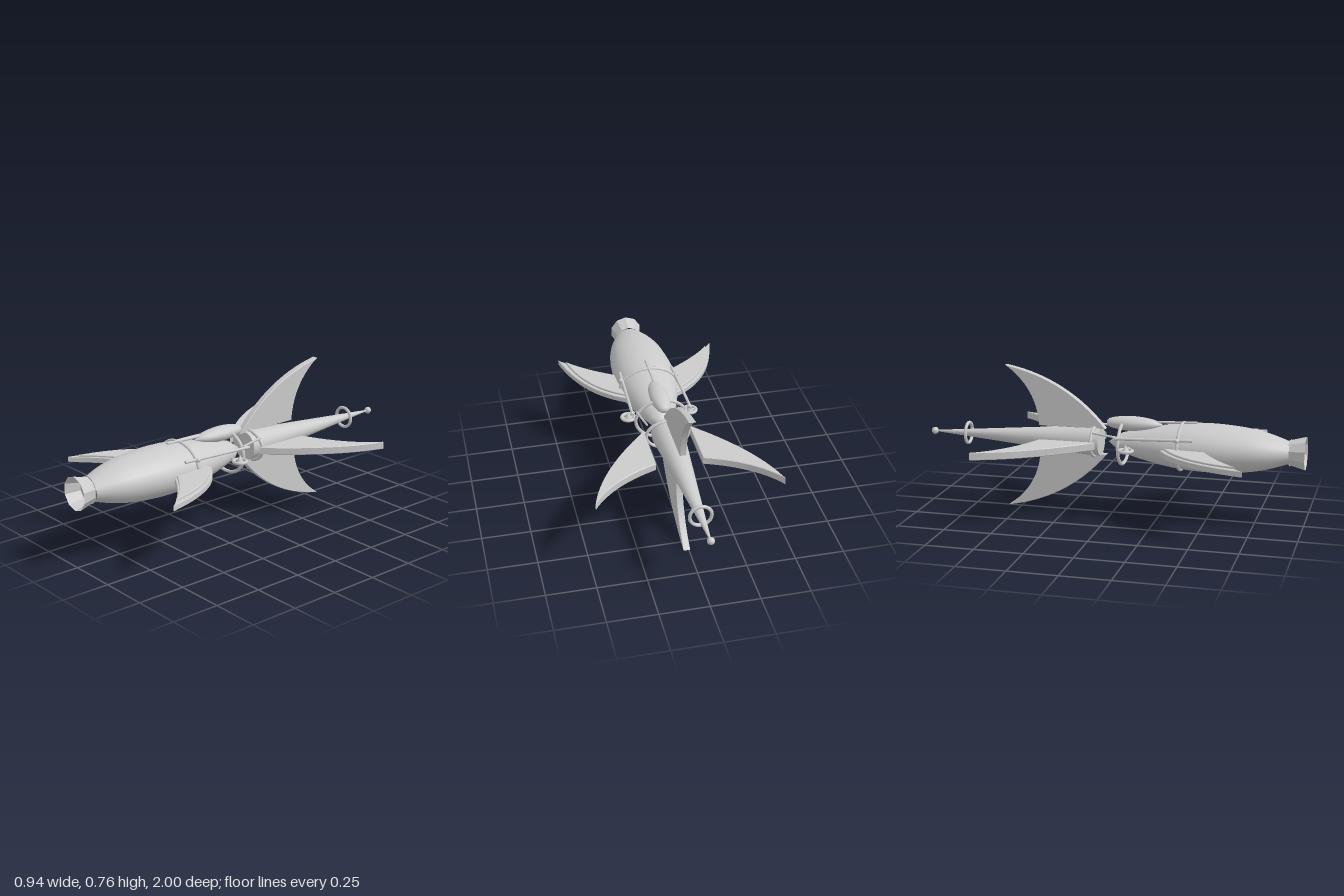
import * as THREE from 'three';

const AXIS = 0.385; // height of the long axis

export function createModel() {
  const root = new THREE.Group();
  root.name = 'finnedRocketCraft';
  const smooth = new THREE.MeshStandardMaterial({ color: 0xcccccc });
  const open = new THREE.MeshStandardMaterial({ color: 0xcccccc, side: THREE.DoubleSide, flatShading: true });

  const add = (name, geometry, x = 0, y = AXIS, z = 0, material = smooth) => {
    const mesh = new THREE.Mesh(geometry, material);
    mesh.name = name;
    mesh.position.set(x, y, z);
    root.add(mesh);
    return mesh;
  };
  // Turned shape along z from [radius, z] pairs running back to front
  const turned = (pts, sides, sx = 1) =>
    new THREE.LatheGeometry(pts.map(([r, z]) => new THREE.Vector2(r, z)), sides).rotateX(Math.PI / 2).scale(sx, 1, 1);
  const smoothProfile = (pts, n) =>
    new THREE.SplineCurve(pts.map(([r, z]) => new THREE.Vector2(r, z))).getPoints(n).map(p => [Math.max(p.x, 0), p.y]);

  // Hull: broad spindle, wider than tall, with a pointed tail
  const hull = smoothProfile([[0.05, 0.05], [0.088, 0.2], [0.115, 0.36], [0.123, 0.53], [0.111, 0.7], [0.09, 0.81], [0.055, 0.92]], 24);
  add('hull', turned(hull, 24, 1.34));
  add('hullTailCone', turned([[0, -0.02], [0.05, 0.05]], 24, 1.34));
  add('hullFrontCap', new THREE.CircleGeometry(0.07, 24), 0, AXIS, 0.922);

  // Flared open nozzle
  add('nozzle', turned([[0.064, 0.915], [0.087, 1]], 10), 0, AXIS, 0, open);

  // Tail boom with ball tip
  add('tailBoom', turned([[0.004, -0.97], [0.079, -0.1], [0.076, -0.06]], 20, 1.06));
  add('tailBoomCap', new THREE.CircleGeometry(0.076, 20).scale(1.06, 1, 1), 0, AXIS, -0.06);
  add('tailBall', new THREE.SphereGeometry(0.019, 14, 10), 0, AXIS, -0.981);

  // Oval hoops: z, half width, half height
  [[0.37, 0.158, 0.118, 'hullHoop'], [0.06, 0.135, 0.11, 'rearHullHoop'],
    [-0.09, 0.112, 0.078, 'boomHoop'], [-0.79, 0.054, 0.054, 'tailHoop']].forEach(([z, rx, ry, name]) => {
    const pts = Array.from({ length: 32 }, (_, i) => {
      const a = i / 32 * Math.PI * 2;
      return new THREE.Vector3(Math.cos(a) * rx, Math.sin(a) * ry, 0);
    });
    add(name, new THREE.TubeGeometry(new THREE.CatmullRomCurve3(pts, true), 48, 0.009, 8, true), 0, AXIS, z);
  });

  // Fin plate: points are [outward, z]; edges are root start, lead control, tip, trail control, root end
  const plate = ([a, c1, tip, c2, b], thick) => {
    const s = new THREE.Shape();
    s.moveTo(a[0], -a[1]);
    s.quadraticCurveTo(c1[0], -c1[1], tip[0], -tip[1]);
    s.quadraticCurveTo(c2[0], -c2[1], b[0], -b[1]);
    s.closePath();
    const bevel = 0.003;
    return new THREE.ExtrudeGeometry(s, {
      depth: thick - 2 * bevel, curveSegments: 14, bevelThickness: bevel, bevelSize: bevel, bevelOffset: -bevel, bevelSegments: 1,
    }).translate(0, 0, bevel - thick / 2).rotateX(-Math.PI / 2);
  };
  const fin = (name, pts, thick, angle, lift = 0) => {
    const geo = plate(pts, thick).translate(0, lift, 0);
    add(name, geo, 0, AXIS, 0).rotation.z = angle;
  };

  // Swept tail fins: two upright, two level
  const upright = [[0.07, -0.03], [0.325, -0.24], [0.382, -0.57], [0.265, -0.4], [0.07, -0.39]];
  const level = [[0.12, -0.065], [0.4, -0.35], [0.47, -0.615], [0.36, -0.445], [0.12, -0.36]];
  fin('upperTailFin', upright, 0.035, Math.PI / 2, 0.01);
  fin('lowerTailFin', upright, 0.035, -Math.PI / 2, 0.01);
  fin('leftTailFin', level, 0.04, 0);
  fin('rightTailFin', level, 0.04, Math.PI);

  // Forward fins: outer plate with a thicker inset plate
  const wing = [[0.1, 0.26], [0.355, 0.37], [0.435, 0.745], [0.31, 0.6], [0.1, 0.49]];
  const inset = [[0.1, 0.28], [0.34, 0.39], [0.4, 0.705], [0.3, 0.585], [0.1, 0.475]];
  [['left', 0], ['right', Math.PI]].forEach(([side, angle]) => {
    const dir = angle ? -1 : 1;
    fin(side + 'Wing', wing, 0.03, angle, -0.008 * dir);
    fin(side + 'WingPanel', inset, 0.043, angle, -0.004 * dir);
  });

  // Dorsal pod with forward probe
  const pod = smoothProfile([[0, -0.03], [0.022, -0.015], [0.036, 0.06], [0.036, 0.14], [0.024, 0.22], [0, 0.27]], 18);
  add('dorsalPod', turned(pod, 16, 1.35), 0, 0.488);

  const rod = (name, from, to, r) => {
    const a = new THREE.Vector3(...from), b = new THREE.Vector3(...to);
    const mesh = add(name, new THREE.CylinderGeometry(r, r, a.distanceTo(b), 8));
    mesh.position.copy(a).lerp(b, 0.5);
    mesh.quaternion.setFromUnitVectors(new THREE.Vector3(0, 1, 0), b.sub(a).normalize());
  };
  rod('dorsalProbe', [0, 0.5, 0.18], [0, 0.51, 0.445], 0.007);

  for (const s of [1, -1]) {
    // Rails linking the hoops
    rod('sideRail', [s * 0.155, 0.44, 0.04], [s * 0.143, 0.45, 0.445], 0.008);
    rod('boomStrut', [s * 0.105, 0.45, -0.08], [s * 0.13, 0.44, 0.06], 0.006);
    add('railJoint', new THREE.SphereGeometry(0.012, 10, 8), s * 0.152, 0.447, 0.37);
    add('railEndJoint', new THREE.SphereGeometry(0.011, 10, 8), s * 0.15, 0.44, 0.06);

    // Saucer-shaped side thrusters
    add('thrusterRing', new THREE.TorusGeometry(0.034, 0.009, 8, 20).rotateX(Math.PI / 2), s * 0.165, 0.383, 0.11);
    add('thrusterDome', new THREE.ConeGeometry(0.02, 0.04, 14), s * 0.165, 0.398, 0.11);
    rod('thrusterBar', [s * 0.1, 0.383, 0.11], [s * 0.2, 0.383, 0.11], 0.006);
  }
  return root;
}
